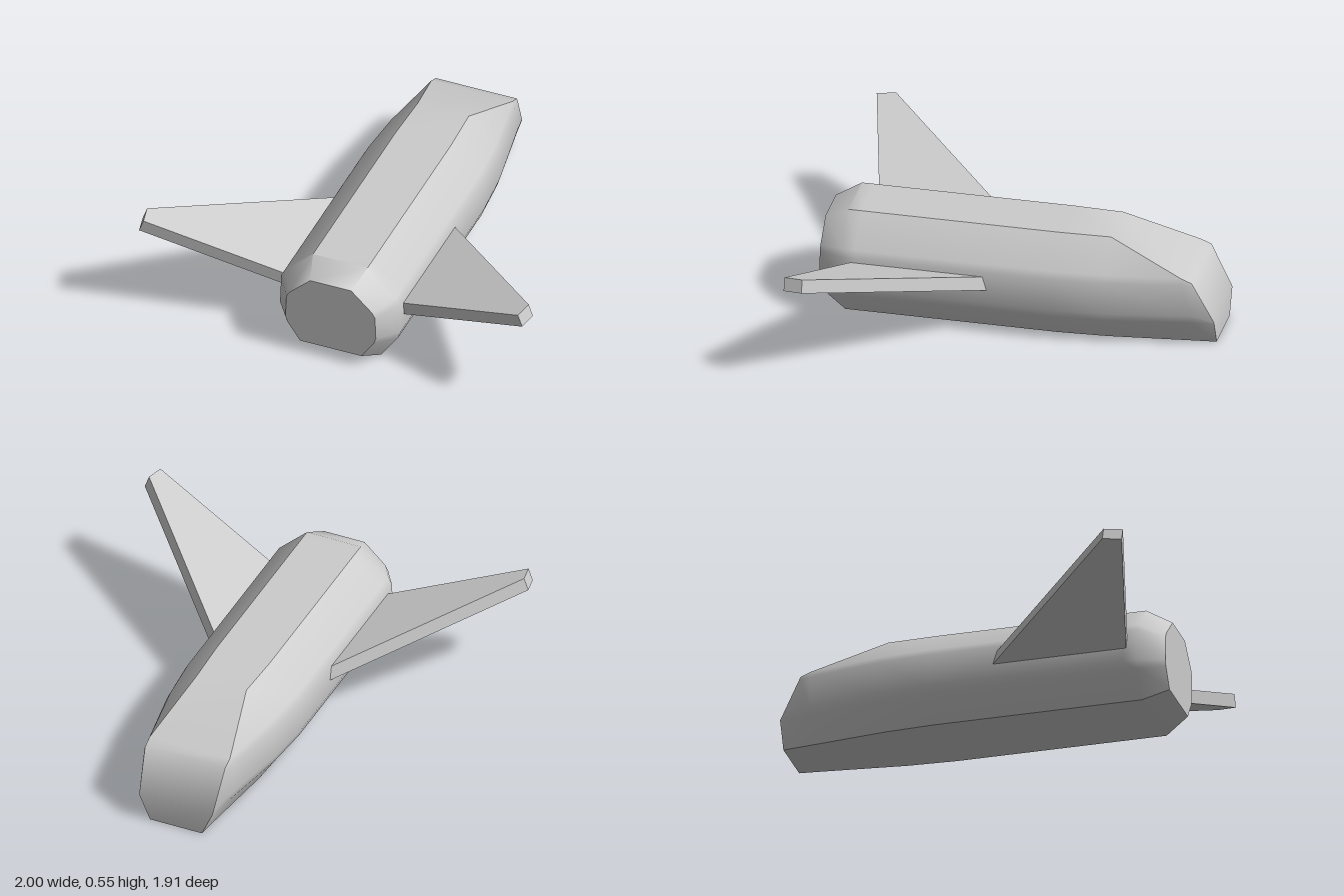
import * as THREE from 'three';
import { toCreasedNormals } from 'three/addons/utils/BufferGeometryUtils.js';

// Half cross-section of the hull, bottom to top, side corners slightly rounded
const PROFILE = [[0.21, 0], [0.295, 0.124], [0.309, 0.165], [0.303, 0.325], [0.285, 0.36], [0.14, 0.497]];

// Full section ring, sliced flat at height top; the sliced points slide along the profile
function section(z, taper, top, shrink = 1) {
  const half = PROFILE.map(([x, y], i) => {
    if (y <= top) return [x, y];
    const k = PROFILE.findIndex((p) => p[1] > top);
    const [x0, y0] = PROFILE[k - 1], [x1, y1] = PROFILE[k];
    return [x0 + (x1 - x0) * (top - y0) / (y1 - y0), top];
  });
  const loop = [...half, ...half.map(([x, y]) => [-x, y]).reverse()];
  return loop.map(([x, y]) => new THREE.Vector3(x * taper * shrink, 0.245 + (y - 0.245) * shrink, z));
}

function hullGeometry() {
  // z, width taper, slice height, overall shrink: nose to tail
  const rings = [
    [-0.955, 0.645, 0.13], [-0.85, 0.7, 0.335], [-0.8, 0.729, 0.355], [-0.44, 0.935, 0.5],
    [-0.2, 1, 0.5], [0.77, 1, 0.5], [0.835, 1, 0.5], [0.955, 1, 0.5, 0.75],
  ].map((r) => section(...r));
  const pos = [];
  const tri = (a, b, c) => {
    const area = b.clone().sub(a).cross(c.clone().sub(a)).length();
    if (area > 1e-7) for (const p of [a, b, c]) pos.push(p.x, p.y, p.z);
  };
  const n = rings[0].length;
  for (let i = 0; i < rings.length - 1; i++) {
    for (let j = 0; j < n; j++) {
      const a = rings[i][j], b = rings[i][(j + 1) % n];
      const c = rings[i + 1][(j + 1) % n], d = rings[i + 1][j];
      tri(a, b, c);
      tri(a, c, d);
    }
  }
  // Flat nose and tail caps
  const nose = rings[0], tail = rings[rings.length - 1];
  for (let j = 1; j < n - 1; j++) {
    tri(nose[0], nose[j + 1], nose[j]);
    tri(tail[0], tail[j], tail[j + 1]);
  }
  const geo = new THREE.BufferGeometry();
  geo.setAttribute('position', new THREE.Float32BufferAttribute(pos, 3));
  return toCreasedNormals(geo, 0.73);
}

// Swept wing plate, tilted upward; side is +1 or -1
function makeWing(side, material) {
  const outline = [[-0.06, 0.07], [0.734, 0.865], [0.715, 0.955], [-0.06, 0.77]];
  const shape = new THREE.Shape(outline.map(([u, z]) => new THREE.Vector2(u * side, z)));
  const geo = new THREE.ExtrudeGeometry(shape, { depth: 0.065, bevelEnabled: false });
  geo.rotateX(Math.PI / 2);
  const wing = new THREE.Mesh(geo, material);
  wing.rotation.z = 0.347 * side;
  wing.position.set(0.288 * side, 0.296, 0);
  return wing;
}

export function createModel() {
  const model = new THREE.Group();
  const grey = new THREE.MeshStandardMaterial({ color: 0xcccccc });
  grey.name = 'hull grey';

  const hull = new THREE.Mesh(hullGeometry(), grey);
  hull.name = 'hull';
  model.add(hull);

  for (const side of [1, -1]) {
    const wing = makeWing(side, grey);
    wing.name = side > 0 ? 'leftWing' : 'rightWing';
    model.add(wing);
  }
  return model;
}
